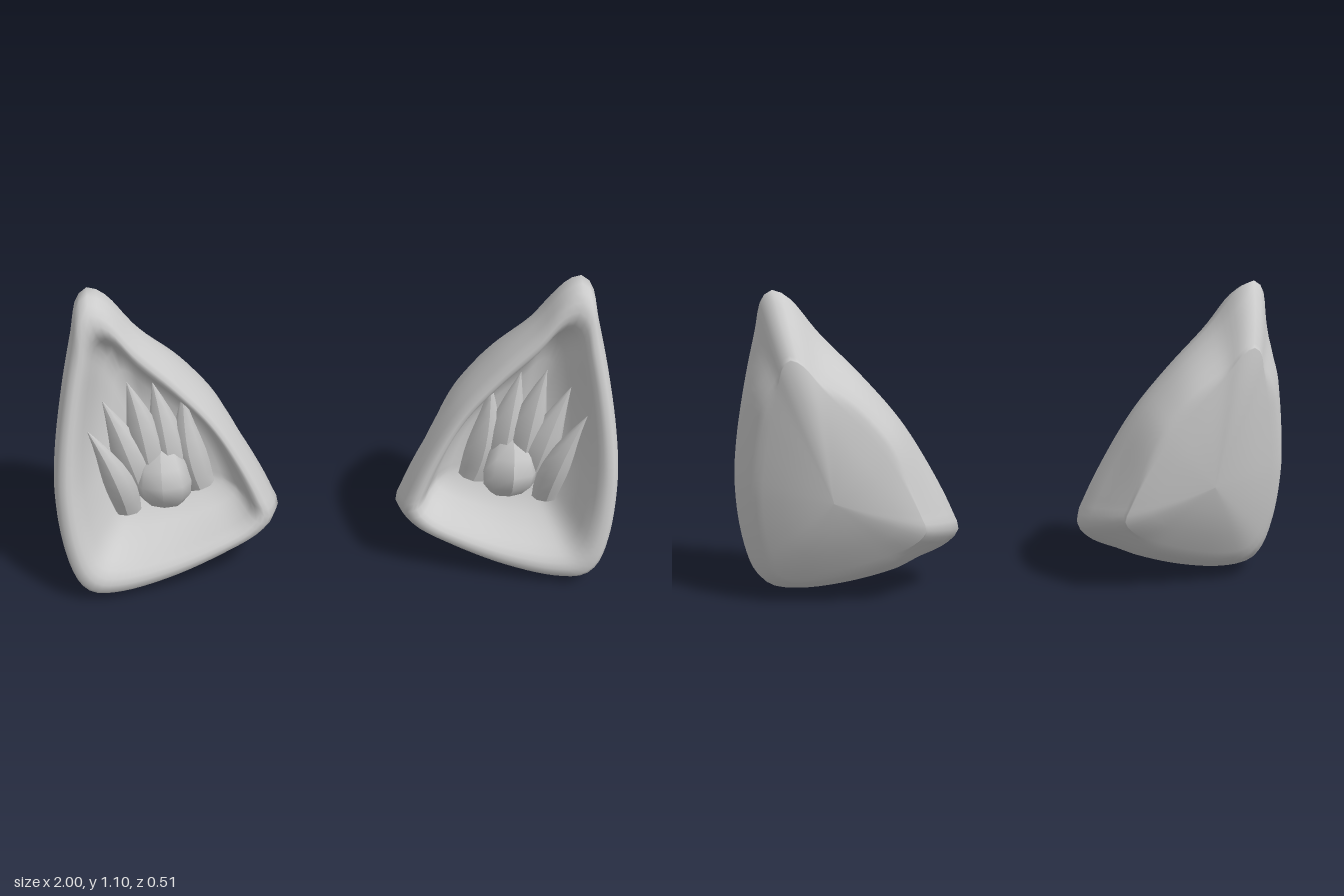
import * as THREE from 'three';

const { lerp, smoothstep } = THREE.MathUtils;
const material = new THREE.MeshStandardMaterial({ color: 0xcccccc, side: THREE.DoubleSide });
const centre = new THREE.Vector2(0.66, 0.4);

// Leaning planes that the rim and the back panel follow
const frontZ = (x, y) => 0.255 + 0.21 * (x - 0.88) - 0.18 * (y - 0.08);
const backZ = (x, y) => -0.215 + 0.157 * x - 0.165 * y;

// Outline of the ear, clockwise from the tip
const outline = [
  [0.84, 1.098], [0.875, 1.07], [0.905, 0.95], [0.945, 0.78], [0.985, 0.56], [0.999, 0.4], [0.985, 0.2],
  [0.945, 0.065], [0.895, 0.015], [0.79, 0.002], [0.6, 0.033], [0.4, 0.1], [0.265, 0.165],
  [0.217, 0.225], [0.24, 0.3], [0.315, 0.46], [0.42, 0.64], [0.55, 0.8], [0.69, 0.95], [0.785, 1.07],
];

// Rings from the cavity floor over the rim: scale of the outline, depth behind the front plane
const frontRings = [
  [0, 0.2], [0.3, 0.195], [0.5, 0.175], [0.62, 0.14], [0.7, 0.09], [0.75, 0.045], [0.79, 0.017],
  [0.83, 0.003], [0.87, 0], [0.92, 0.006], [0.955, 0.03], [0.98, 0.068], [1, 0.11],
];
// Rings round the outside to the back: scale, blend from rim edge to back panel
const backRings = [
  [0.985, 0.25], [0.95, 0.5], [0.89, 0.74], [0.82, 0.92], [0.77, 0.985], [0.7, 1], [0.5, 1], [0.25, 1], [0, 1],
];

// The rim is broader along the outer and lower sides
function rimScale(p, s) {
  const dx = p.x - centre.x, dy = p.y - centre.y;
  const broad = 0.05 + 0.3 * (0.8 * dx - 0.6 * dy) / Math.hypot(dx, dy);
  return s - (1 - s) * broad * Math.min(1, s / 0.6);
}

// The back slopes in straight at the tip and at the inner corner
function backScale(p, s, t) {
  if (s <= 0.7) return s;
  const slope = Math.max(smoothstep(p.y, 0.75, 1.05), 1 - smoothstep(p.x, 0.23, 0.45));
  return lerp(s, lerp(1 - 0.28 * t, 0.7, t ** 8), slope);
}

function shellGeometry() {
  const n = 90;
  const curve = new THREE.CatmullRomCurve3(outline.map(([x, y]) => new THREE.Vector3(x, y, 0)), true);
  const points = curve.getSpacedPoints(n).slice(0, n);
  const positions = [], index = [];
  const addRing = (scaleAt, zAt) => {
    for (const p of points) {
      const s = scaleAt(p);
      const x = centre.x + (p.x - centre.x) * s;
      const y = centre.y + (p.y - centre.y) * s;
      positions.push(x, y, zAt(x, y, p));
    }
  };
  for (const [s, depth] of frontRings) addRing((p) => rimScale(p, s), (x, y) => frontZ(x, y) - depth);
  for (const [s, t] of backRings) {
    const bulge = 0.068 * Math.max(0, 1 - (s / 0.74) ** 2);
    addRing((p) => backScale(p, s, t),
      (x, y, p) => lerp(frontZ(p.x, p.y) - 0.11, backZ(x, y) - bulge, t));
  }
  const rings = frontRings.length + backRings.length;
  for (let r = 0; r < rings - 1; r++) {
    for (let i = 0; i < n; i++) {
      const j = (i + 1) % n;
      const a = r * n + i, b = r * n + j, c = b + n, d = a + n;
      // The first and last rings close to a point, so they need one triangle per step
      if (r > 0) index.push(a, b, d);
      if (r < rings - 2) index.push(b, c, d);
    }
  }
  const geometry = new THREE.BufferGeometry();
  geometry.setAttribute('position', new THREE.Float32BufferAttribute(positions, 3));
  geometry.setIndex(index);
  geometry.computeVertexNormals();
  return geometry;
}

// Curved lock of fur: a cylinder bent along a quadratic curve, its width set by a profile
function lockGeometry({ base, mid, tip, width, thick, profile }) {
  const path = new THREE.QuadraticBezierCurve3(
    new THREE.Vector3(...base), new THREE.Vector3(...mid), new THREE.Vector3(...tip));
  const geometry = new THREE.CylinderGeometry(1, 1, 1, 8, profile.length - 1);
  const pos = geometry.attributes.position;
  for (let i = 0; i < pos.count; i++) {
    const t = pos.getY(i) + 0.5;
    const k = profile[Math.round(t * (profile.length - 1))];
    const p = path.getPoint(t);
    const along = path.getTangent(t);
    // Offset sideways in the plane of the ear, and in depth
    const side = new THREE.Vector2(along.y, -along.x).normalize();
    const w = pos.getX(i) * width * k;
    pos.setXYZ(i, p.x + side.x * w, p.y + side.y * w, p.z + pos.getZ(i) * thick * k);
  }
  geometry.computeVertexNormals();
  return geometry;
}

const spike = [0.8, 0.9, 0.95, 0.9, 0.75, 0.52, 0.27, 0.01];
const locks = [
  { name: 'outerLock', base: [0.755, 0.265, 0.05], mid: [0.765, 0.45, 0.11], tip: [0.86, 0.65, 0.145], width: 0.058, thick: 0.05, profile: spike },
  { name: 'outerMiddleLock', base: [0.7, 0.33, 0.02], mid: [0.72, 0.5, 0.06], tip: [0.807, 0.735, 0.09], width: 0.075, thick: 0.055, profile: spike },
  { name: 'tallLock', base: [0.66, 0.36, 0.02], mid: [0.67, 0.6, 0.05], tip: [0.72, 0.8, 0.08], width: 0.07, thick: 0.055, profile: spike },
  { name: 'innerMiddleLock', base: [0.59, 0.36, 0.01], mid: [0.6, 0.58, 0.03], tip: [0.636, 0.78, 0.05], width: 0.07, thick: 0.055, profile: spike },
  { name: 'innerLock', base: [0.495, 0.325, -0.01], mid: [0.545, 0.5, 0.02], tip: [0.535, 0.735, 0.04], width: 0.065, thick: 0.05, profile: spike },
  { name: 'centreTuft', base: [0.625, 0.275, 0.02], mid: [0.62, 0.38, 0.1], tip: [0.625, 0.52, 0.03], width: 0.1, thick: 0.065, profile: [0.65, 0.95, 1, 0.85, 0.6] },
];

// Mirror in x and turn the faces back outwards
function mirrored(geometry) {
  const g = geometry.clone().scale(-1, 1, 1);
  const ix = g.index;
  for (let i = 0; i < ix.count; i += 3) {
    const a = ix.getX(i);
    ix.setX(i, ix.getX(i + 1));
    ix.setX(i + 1, a);
  }
  g.computeVertexNormals();
  return g;
}

export function createModel() {
  const model = new THREE.Group();
  model.name = 'earPair';
  const parts = [
    ['earShell', shellGeometry()],
    ...locks.map((lock) => [lock.name, lockGeometry(lock)]),
  ];
  for (const side of ['left', 'right']) {
    const ear = new THREE.Group();
    ear.name = side + 'Ear';
    for (const [name, geometry] of parts) {
      const mesh = new THREE.Mesh(side === 'left' ? geometry : mirrored(geometry), material);
      mesh.name = name;
      ear.add(mesh);
    }
    model.add(ear);
  }
  return model;
}
